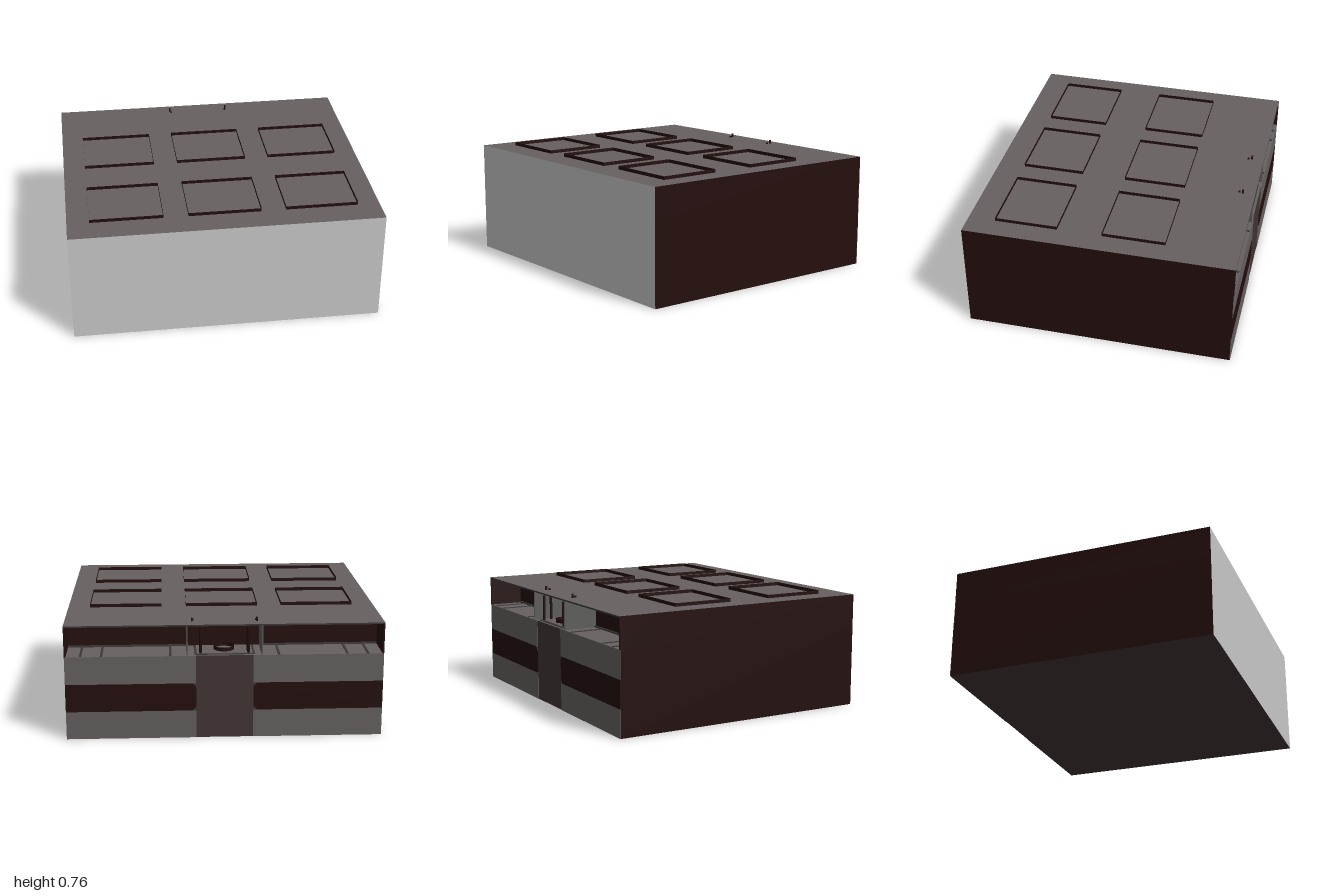
import * as THREE from 'three';

export function createModel() {
  const mat = (name, color, side = THREE.FrontSide) => {
    const m = new THREE.MeshStandardMaterial({ color, side });
    m.name = name;
    return m;
  };
  const dark = mat('dark maroon', 0x240e0d, THREE.DoubleSide);
  const grey = mat('warm grey', 0x666160);
  const brown = mat('brown', 0x413534);
  const pale = mat('pale grey', 0xcacaca);
  const steel = mat('steel grey', 0x5c5c5a);
  const seam = mat('seam grey', 0x3c3a39);

  const model = new THREE.Group();
  model.name = 'kioskBuilding';
  const add = (name, geo, material, x = 0, y = 0, z = 0) => {
    const m = new THREE.Mesh(geo, material);
    m.name = name;
    m.position.set(x, y, z);
    model.add(m);
    return m;
  };
  // Box given by its minimum and maximum corners
  const box = (name, material, x0, x1, y0, y1, z0, z1) =>
    add(name, new THREE.BoxGeometry(x1 - x0, y1 - y0, z1 - z0), material,
      (x0 + x1) / 2, (y0 + y1) / 2, (z0 + z1) / 2);

  const back = -0.867, front = 0.87, inner = -0.64, sill = 0.54, top = 0.74;

  // Main volumes: +x, -x, top, bottom, front, back
  box('lowerBody', [dark, dark, grey, brown, pale, brown], -1, 1, 0, sill, back, front);
  box('upperBody', [dark, dark, grey, grey, pale, dark], -1, 1, sill, 0.73, inner, front);
  box('roof', [dark, dark, grey, steel, pale, seam], -1, 1, 0.73, top, -0.87, front);

  // Horizontal bands on the counter front, mirrored about the centre panel
  const band = (name, material, s, y0, y1, clip) => {
    const shape = new THREE.Shape([
      [1, y0], [0.18 + clip, y0], [0.18, y0 + clip], [0.18, y1 - clip], [0.18 + clip, y1], [1, y1],
    ].map(([x, y]) => new THREE.Vector2(s * x, y)));
    add(name, new THREE.ExtrudeGeometry(shape, { depth: 0.003, bevelEnabled: false }), material, 0, 0, -0.87);
  };

  for (const s of [-1, 1]) {
    band('lowerBand', grey, s, 0, 0.18, 0);
    band('middleBand', dark, s, 0.18, 0.36, 0.025);
    band('upperBand', grey, s, 0.36, sill, 0);

    // Ends of the serving opening and walls of the central recess
    box('openingEnd', dark, s * 0.995 - 0.005, s * 0.995 + 0.005, sill, 0.73, -0.87, inner);
    box('recessWall', steel, s * 0.235 - 0.004, s * 0.235 + 0.004, sill, 0.73, -0.865, inner);

    // Counter seams
    for (const x of [0.34, 0.77, 0.9])
      box('counterSeam', seam, s * x - 0.007, s * x + 0.007, sill, sill + 0.005, -0.865, inner);
    box('counterBackRail', seam, Math.min(s * 0.24, s * 0.99), Math.max(s * 0.24, s * 0.99),
      sill, sill + 0.01, inner - 0.012, inner);

    // Slim posts beside the tray
    for (const z of [-0.83, -0.78])
      add('post', new THREE.CylinderGeometry(0.009, 0.009, 0.17, 8), dark, s * 0.15, sill + 0.085, z);

    // Small pegs rising through the roof
    box('tallPeg', dark, s * 0.204 - 0.005, s * 0.204 + 0.005, top, 0.765, -0.795, -0.783);
    box('shortPeg', dark, s * 0.198 - 0.005, s * 0.198 + 0.005, top, 0.75, -0.772, -0.76);
  }

  // Tray with a raised ring in the recess
  box('trayRim', seam, -0.19, 0.19, sill, sill + 0.004, -0.85, -0.65);
  box('tray', grey, -0.175, 0.175, sill, sill + 0.008, -0.838, -0.662);
  add('ring', new THREE.CylinderGeometry(0.065, 0.065, 0.025, 24, 1, true), dark, 0, sill + 0.02, -0.745);

  // Six upright rims on the roof, open at the top
  for (const x of [-0.625, 0, 0.625]) {
    for (const z of [0.49, -0.205]) {
      for (const s of [-1, 1]) {
        add('hatchRim', new THREE.PlaneGeometry(0.466, 0.022), dark, x, top + 0.011, z + s * 0.203);
        add('hatchRim', new THREE.PlaneGeometry(0.406, 0.022), dark, x + s * 0.233, top + 0.011, z)
          .rotation.y = Math.PI / 2;
      }
    }
  }
  return model;
}
